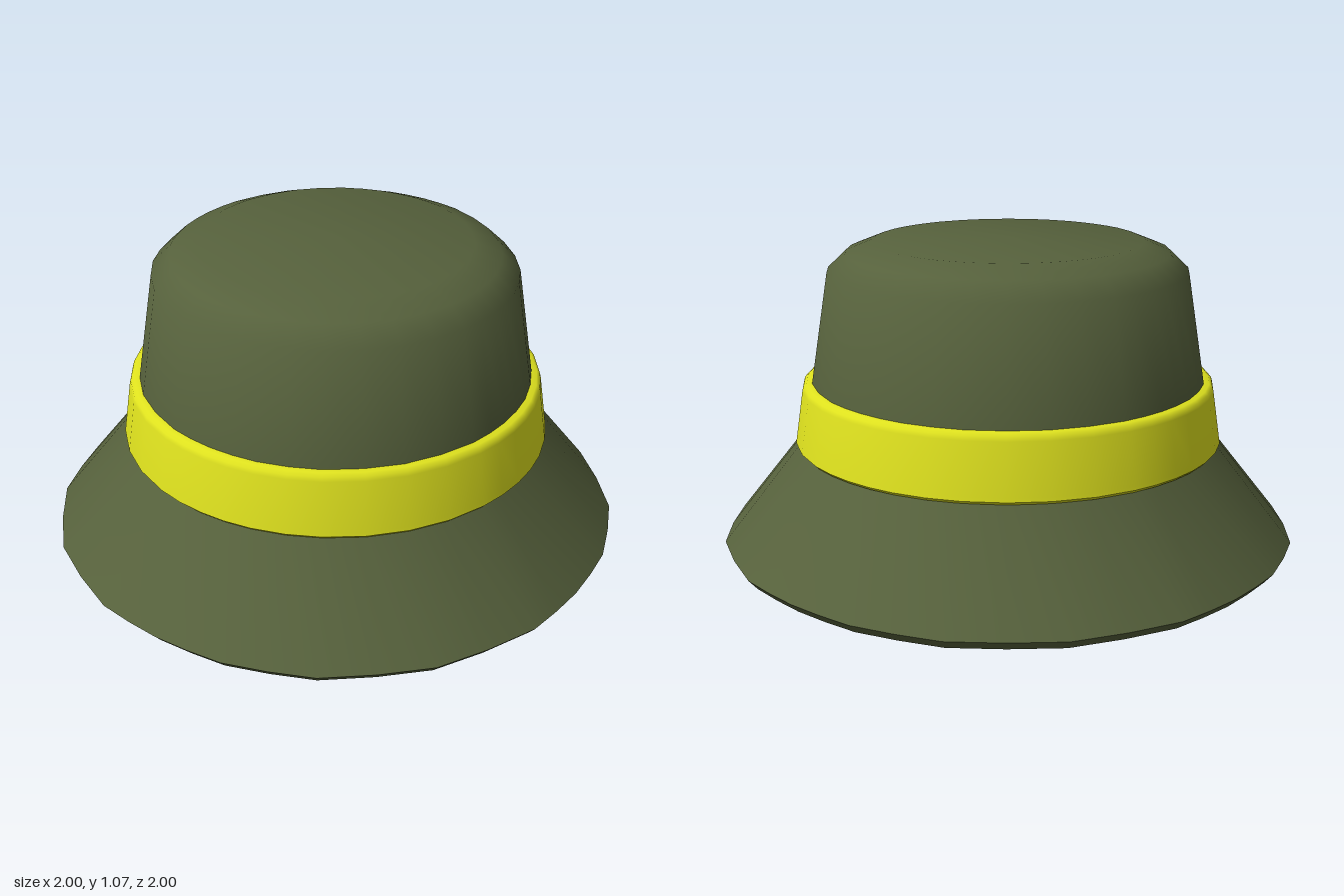
import * as THREE from 'three';
import { toCreasedNormals } from 'three/addons/utils/BufferGeometryUtils.js';

const fabric = new THREE.MeshStandardMaterial({ color: 0x56613c });
fabric.name = 'olive fabric';
const ribbon = new THREE.MeshStandardMaterial({ color: 0xe0e31e });
ribbon.name = 'yellow ribbon';

// Uneven panels within each quarter turn: angle in degrees and relative radius
const panels = [[0, 1], [21.7, 0.996], [36, 0.986], [50.5, 0.993], [68.3, 1], [90, 1]];

// Turn a profile around y in 20 panels of two steps each.
// wobble sets how much of the panels' unevenness shows (0 = a true circle).
function turned(name, profile, material, wobble, crease) {
  const points = profile.map(([r, y]) => new THREE.Vector2(r, y));
  const geometry = new THREE.LatheGeometry(points, 40);
  const position = geometry.attributes.position;
  for (let i = 0; i < position.count; i++) {
    const column = Math.floor(i / points.length);
    const quarter = Math.floor(column / 10);
    const k = Math.floor((column % 10) / 2);
    const half = (column % 2) / 2;
    const [a0, r0] = panels[k];
    const [a1, r1] = panels[k + 1];
    const a = THREE.MathUtils.degToRad(quarter * 90 + a0 + (a1 - a0) * half);
    const sag = half * (1 - Math.cos(THREE.MathUtils.degToRad((a1 - a0) / 2)));
    const uneven = r0 + (r1 - r0) * half - sag;
    const r = points[i % points.length].x * THREE.MathUtils.lerp(1, uneven, wobble);
    position.setX(i, r * Math.sin(a));
    position.setZ(i, r * Math.cos(a));
  }
  const mesh = new THREE.Mesh(toCreasedNormals(geometry, crease), material);
  mesh.name = name;
  return mesh;
}

export function createModel() {
  const hat = new THREE.Group();
  hat.name = 'bucketHat';

  // Brim with its lining, open at the top under the band
  hat.add(turned('brim', [
    [0.672, 0.42], [0.72, 0.34], [0.96, 0.03],
    [0.97, 0.003], [1, 0.037],
    [0.73, 0.377], [0.705, 0.42],
  ], fabric, 1, 0.75));

  // Crown: lining from the centre down, then outside up to the bevelled top
  hat.add(turned('crown', [
    [0, 1.04], [0.45, 1.03], [0.53, 1.0], [0.59, 0.95],
    [0.655, 0.5], [0.672, 0.42], [0.705, 0.42], [0.68, 0.6],
    [0.62, 0.972], [0.557, 1.032], [0.465, 1.069], [0, 1.077],
  ], fabric, 0.3, 0.75));

  // Band around the foot of the crown, with narrow bevelled edges
  hat.add(turned('hatBand', [
    [0.715, 0.372], [0.732, 0.372], [0.743, 0.383], [0.741, 0.396],
    [0.715, 0.568], [0.711, 0.583], [0.7, 0.592], [0.665, 0.592],
  ], ribbon, 0, 0.9));

  return hat;
}
